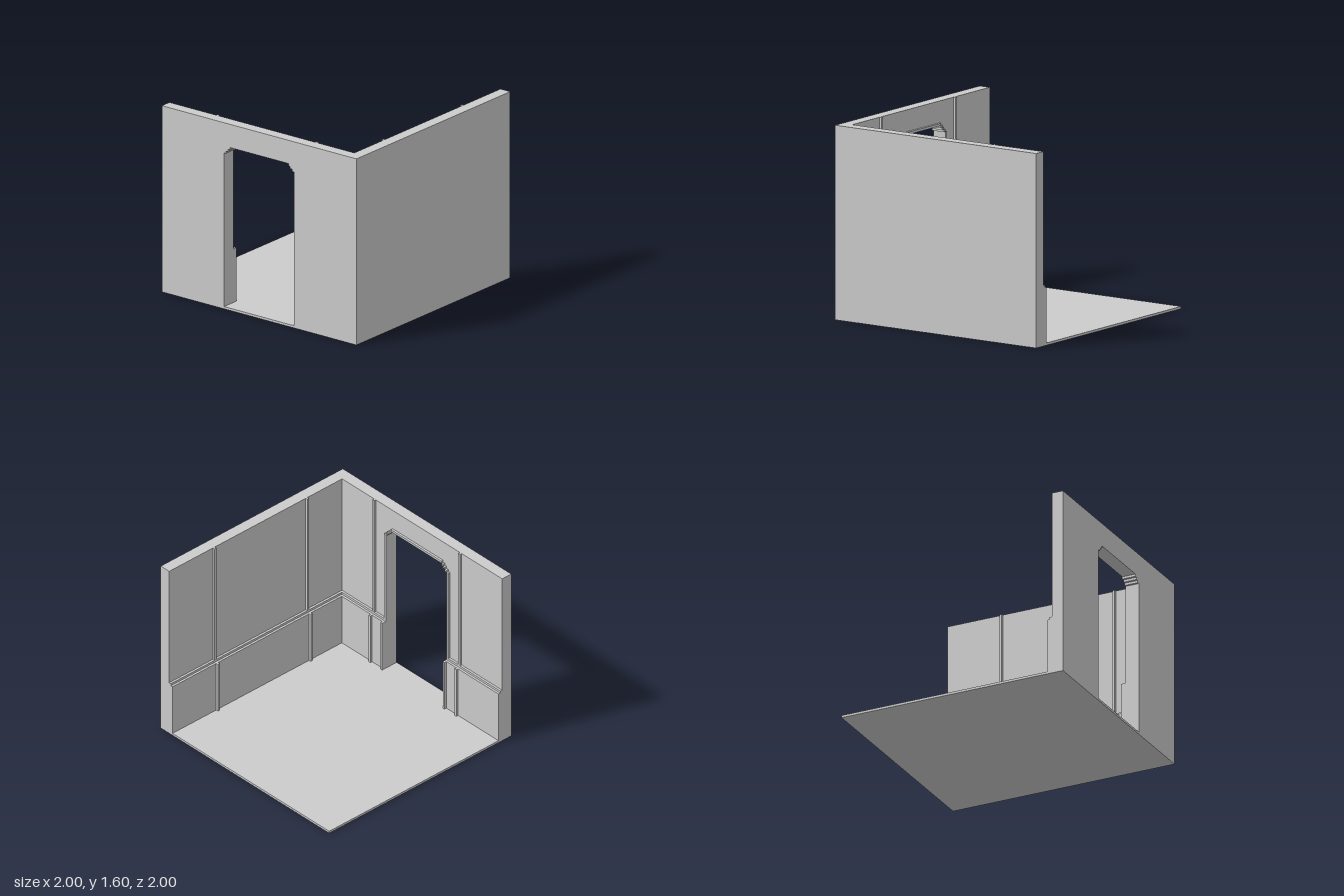
import * as THREE from 'three';

const material = new THREE.MeshStandardMaterial({ color: 0xcccccc, flatShading: true });

const FLOOR = 0.02, TOP = 1.6, INNER = 0.9, T = 0.02; // T: thickness of every trim strip
const RAIL = 0.48; // top of the lower panelling
const DOOR = 0.36, SPRING = 1.34, STEPS = 3; // half width, start and count of corner steps

function box(parent, name, x0, x1, y0, y1, z0, z1) {
  const mesh = new THREE.Mesh(new THREE.BoxGeometry(x1 - x0, y1 - y0, z1 - z0), material);
  mesh.position.set((x0 + x1) / 2, (y0 + y1) / 2, (z0 + z1) / 2);
  mesh.name = name;
  parent.add(mesh);
}

// Strips standing out from a wall's inner face: a..b along the wall, out = projection
const onFront = (g, name, a, b, y0, y1, out) => box(g, name, a, b, y0, y1, INNER - out, INNER);
const onSide = (g, name, a, b, y0, y1, out) => box(g, name, -INNER, -INNER + out, y0, y1, a, b);

// Panelling with a thinner rail on top
function panelling(g, place, a, b) {
  place(g, 'lowerPanel', a, b, FLOOR, RAIL, 2 * T);
  place(g, 'panelRail', a, b, RAIL, RAIL + T, T);
}

// Upright strip that steps out over the panelling
function upright(g, place, name, a, top) {
  place(g, name + 'Lower', a, a + T, FLOOR, RAIL, 3 * T);
  place(g, name + 'Upper', a, a + T, RAIL, top, T);
}

// Side wall outline with a door opening whose upper corners are stepped
function sideWallGeometry() {
  const s = new THREE.Shape();
  s.moveTo(-1, FLOOR);
  s.lineTo(-DOOR, FLOOR);
  const corner = [[DOOR, FLOOR]];
  for (let i = 0; i < STEPS; i++) {
    corner.push([DOOR - i * T, SPRING + i * T], [DOOR - (i + 1) * T, SPRING + i * T]);
  }
  corner.push([DOOR - STEPS * T, SPRING + STEPS * T]);
  corner.slice(1).forEach(([z, y]) => s.lineTo(-z, y));
  corner.reverse().forEach(([z, y]) => s.lineTo(z, y));
  s.lineTo(INNER, FLOOR);
  s.lineTo(INNER, TOP);
  s.lineTo(-1, TOP);
  s.closePath();
  const geo = new THREE.ExtrudeGeometry(s, { depth: 1 - INNER, bevelEnabled: false });
  return geo.rotateY(-Math.PI / 2).translate(-INNER, 0, 0);
}

export function createModel() {
  const model = new THREE.Group();
  model.name = 'roomCorner';

  box(model, 'floor', -1, 1, 0, FLOOR, -1, 1);

  // Front wall with panelling and two uprights
  const front = new THREE.Group();
  front.name = 'frontWall';
  model.add(front);
  box(front, 'frontWallSlab', -1, 1, FLOOR, TOP, INNER, 1);
  panelling(front, onFront, -INNER, 1);
  for (const x of [-0.51, 0.51]) upright(front, onFront, 'upright', x - T / 2, TOP);

  // Side wall with the doorway
  const side = new THREE.Group();
  side.name = 'sideWall';
  model.add(side);
  const slab = new THREE.Mesh(sideWallGeometry(), material);
  slab.name = 'sideWallSlab';
  side.add(slab);
  panelling(side, onSide, -1, -DOOR);
  panelling(side, onSide, DOOR, INNER);
  for (const s of [-1, 1]) {
    upright(side, onSide, 'upright', s * 0.51 - T / 2, TOP);
    upright(side, onSide, 'doorJamb', s * (DOOR + T / 2) - T / 2, SPRING);
    // Small blocks stepping round the door's upper corners
    for (let i = 0; i < STEPS; i++) {
      const z = s * (DOOR - (i + 0.5) * T), y = SPRING + i * T;
      onSide(side, 'doorCornerBlock', z - T / 2, z + T / 2, y, y + T, T);
    }
  }
  const head = SPRING + STEPS * T, half = DOOR - STEPS * T;
  onSide(side, 'doorHead', -half, half, head, head + T, T);

  return model;
}
